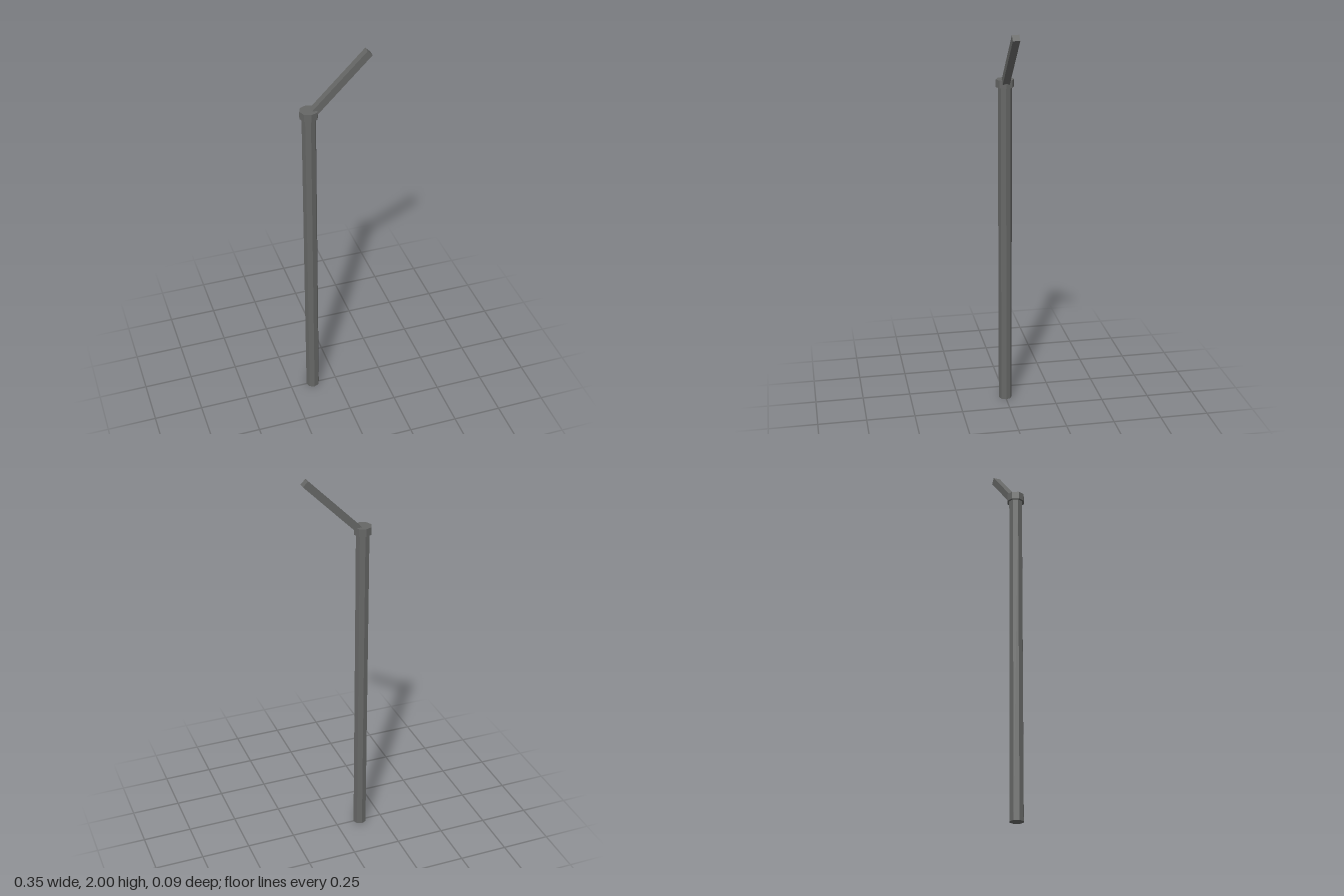
import * as THREE from 'three';

export function createModel() {
  const model = new THREE.Group();
  model.name = 'lampPost';
  const darkMetal = new THREE.MeshStandardMaterial({ color: 0x666766, flatShading: true });
  darkMetal.name = 'dark grey metal';

  const add = (name, geometry, x, y) => {
    const mesh = new THREE.Mesh(geometry, darkMetal);
    mesh.name = name;
    mesh.position.set(x, y, 0);
    model.add(mesh);
    return mesh;
  };

  const postX = -0.13;
  const collarBottom = 1.692, collarTop = 1.731;

  // Octagonal post standing on the ground
  add('post', new THREE.CylinderGeometry(0.035, 0.035, collarBottom, 8), postX, collarBottom / 2);

  // Wider octagonal collar capping the post
  add('collar', new THREE.CylinderGeometry(0.0455, 0.0455, collarTop - collarBottom, 8),
    postX, (collarBottom + collarTop) / 2);

  // Square arm rising at 45 degrees to the model's left
  const arm = add('arm', new THREE.BoxGeometry(0.38, 0.035, 0.035), 0.027, 1.8533);
  arm.rotation.z = Math.PI / 4;

  return model;
}
